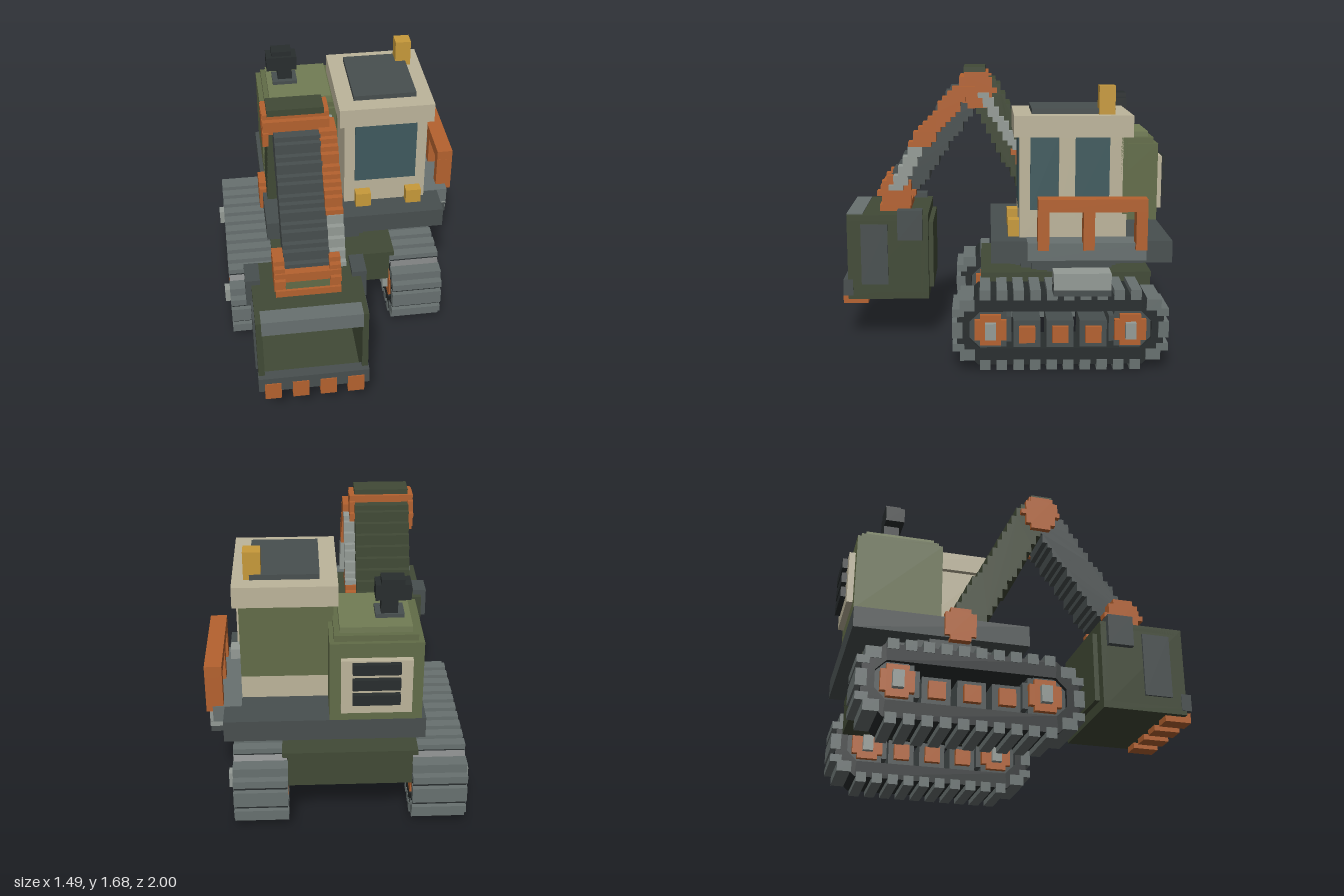
import * as THREE from 'three';

const U = 0.0303; // size of one block step
const C = {
  darkGreen: 0x414a36, olive: 0x626c48, lightOlive: 0x727d55, cream: 0xbdb59b, orange: 0xb5622f,
  amber: 0xc89a3a, glass: 0x3f5a5e, dark: 0x484f4f, mid: 0x687170, light: 0x949b96, black: 0x282d2e,
};
const materials = {};
const mat = (c) => (materials[c] ??= new THREE.MeshStandardMaterial({ color: C[c], flatShading: true }));
const snap = (v) => Math.round(v / U) * U;

function add(parent, name, color, geometry) {
  const mesh = new THREE.Mesh(geometry, mat(color));
  mesh.name = name;
  parent.add(mesh);
  return mesh;
}

// Box given by its limits on each axis
function box(parent, name, color, x0, x1, y0, y1, z0, z1) {
  const g = new THREE.BoxGeometry(x1 - x0, y1 - y0, z1 - z0);
  g.translate((x0 + x1) / 2, (y0 + y1) / 2, (z0 + z1) / 2);
  return add(parent, name, color, g);
}

// Staircase outline: rows one step high, edge(v) gives the [low, high] limits of a row
function steppedShape(v0, v1, edge) {
  const low = [], high = [];
  const n = Math.round((v1 - v0) / U), h = (v1 - v0) / n;
  for (let i = 0; i < n; i++) {
    const a = v0 + i * h, b = a + h, [l, r] = edge(a + h / 2);
    low.push(new THREE.Vector2(l, a), new THREE.Vector2(l, b));
    high.push(new THREE.Vector2(r, a), new THREE.Vector2(r, b));
  }
  return new THREE.Shape([...high, ...low.reverse()]);
}

// Extrude a (z, y) outline across x
function sideExtrude(shape, x0, x1) {
  const g = new THREE.ExtrudeGeometry(shape, { depth: x1 - x0, bevelEnabled: false });
  return g.rotateY(-Math.PI / 2).translate(x1, 0, 0);
}

// Sloping stepped bar from (z0, y0) up to (z1, y1), w wide along z
const bar = (parent, name, color, z0, y0, z1, y1, w, x0, x1) =>
  add(parent, name, color, sideExtrude(steppedShape(y0, y1, (y) => {
    const c = snap(z0 + (z1 - z0) * (y - y0) / (y1 - y0));
    return [c - w / 2, c + w / 2];
  }), x0, x1));

const roundEdge = (cu, cv, r) => (v) => {
  const half = Math.max(U, snap(Math.sqrt(Math.max(0, r * r - (v - cv) ** 2))));
  return [cu - half, cu + half];
};

// Stepped disc facing x
const disc = (parent, name, color, z, y, r, x0, x1) =>
  add(parent, name, color, sideExtrude(steppedShape(y - r, y + r, roundEdge(z, y, r)), x0, x1));

function chamferRect(Path, cz, cy, a, b, c) {
  return new Path([[a, b - c], [a - c, b], [c - a, b], [-a, b - c], [-a, c - b], [c - a, -b], [a - c, -b], [a, c - b]]
    .map(([z, y]) => new THREE.Vector2(cz + z, cy + y)));
}

function track(root, name, cx) {
  const t = new THREE.Group();
  t.name = name;
  root.add(t);
  const cz = -0.315, cy = 0.237, x0 = -0.155, x1 = 0.155;
  // Belt loop
  const loop = chamferRect(THREE.Shape, cz, cy, 0.59, 0.205, 0.12);
  loop.holes.push(chamferRect(THREE.Path, cz, cy, 0.52, 0.11, 0.06));
  add(t, 'trackBelt', 'black', sideExtrude(loop, x0 + 0.004, x1 - 0.004));
  // Treads along the top and bottom
  for (let i = 0; i < 10; i++) {
    const z = 0.115 - i * 0.0955;
    for (const y of [0.03, 0.444]) box(t, 'tread', 'mid', x0, x1, y - 0.03, y + 0.03, z - U, z + U);
  }
  // Treads around both ends
  for (const s of [1, -1]) {
    const z = (d) => cz + s * d;
    const tread = (d0, d1, y0, y1) =>
      box(t, 'endTread', 'mid', x0, x1, y0, y1, Math.min(z(d0), z(d1)), Math.max(z(d0), z(d1)));
    tread(0.56, 0.62, 0.19, 0.285);
    for (const u of [1, -1]) {
      const yr = (a, b) => [Math.min(cy + u * a, cy + u * b), Math.max(cy + u * a, cy + u * b)];
      tread(0.55, 0.618, ...yr(0.08, 0.125));
      tread(0.49, 0.575, ...yr(0.115, 0.18));
    }
    // End wheels and hubs
    disc(t, 'endWheel', 'dark', z(0.4), cy, 0.135, x0 + 0.03, x1 - 0.03);
    disc(t, 'wheelRim', 'orange', z(0.4), cy, 0.09, x0, x1);
    box(t, 'wheelHub', 'light', x0 - 0.033, x1 + 0.033, 0.19, 0.285, z(0.4) - U, z(0.4) + U);
  }
  // Road rollers
  for (let i = 0; i < 3; i++) {
    const z = -0.125 - i * 0.19;
    box(t, 'rollerFrame', 'dark', x0 + 0.03, x1 - 0.03, 0.125, 0.285, z - 0.078, z + 0.078);
    box(t, 'roller', 'orange', x0, x1, 0.16, 0.255, z - 0.046, z + 0.046);
  }
  t.position.x = cx;
}

function undercarriage(root) {
  track(root, 'rightTrack', -0.555);
  track(root, 'leftTrack', 0.458);
  box(root, 'chassis', 'darkGreen', -0.4, 0.303, 0.285, 0.475, -0.87, 0.14);
  box(root, 'chassisTop', 'darkGreen', -0.43, 0.333, 0.475, 0.505, -0.87, 0.14);
  const g = new THREE.ExtrudeGeometry(steppedShape(0.01, 0.74, roundEdge(-0.045, 0.375, 0.365)),
    { depth: 0.14, bevelEnabled: false });
  add(root, 'turntable', 'dark', g.rotateX(-Math.PI / 2).translate(0, 0.503, 0));
}

function upperBody(root) {
  box(root, 'platform', 'dark', -0.455, 0.645, 0.64, 0.765, -0.935, 0.08);
  box(root, 'sideStep', 'mid', 0.55, 0.71, 0.67, 0.769, -0.78, -0.12);
  box(root, 'toolBoxMount', 'dark', 0.585, 0.745, 0.475, 0.545, -0.585, -0.265);
  box(root, 'toolBox', 'light', 0.615, 0.748, 0.51, 0.605, -0.585, -0.265);
  // Engine housing, stepped in toward the top
  box(root, 'engineHousing', 'olive', -0.43, 0.07, 0.765, 1.235, -0.935, -0.435);
  box(root, 'housingStep', 'olive', -0.4, 0.045, 1.235, 1.27, -0.91, -0.455);
  box(root, 'housingTop', 'lightOlive', -0.37, 0.015, 1.27, 1.303, -0.88, -0.48);
  box(root, 'grilleFrame', 'cream', -0.37, 0.01, 0.83, 1.15, -0.97, -0.93);
  for (const y of [0.925, 1.017, 1.11]) box(root, 'grilleSlat', 'black', -0.305, -0.05, y - 0.031, y + 0.031, -1, -0.965);
  // Exhaust
  box(root, 'exhaustBase', 'dark', -0.335, -0.18, 1.3, 1.325, -0.78, -0.65);
  box(root, 'exhaustPipe', 'black', -0.3, -0.21, 1.3, 1.5, -0.77, -0.68);
  box(root, 'exhaustHead', 'black', -0.37, -0.18, 1.4, 1.49, -0.77, -0.66);
  box(root, 'exhaustCap', 'black', -0.335, -0.21, 1.49, 1.52, -0.77, -0.68);
  // Guard rail
  box(root, 'railBar', 'orange', 0.65, 0.745, 0.95, 1.02, -0.778, -0.177);
  for (const z of [-0.207, -0.457, -0.747]) box(root, 'railPost', 'orange', 0.65, 0.745, 0.735, 0.96, z - 0.031, z + 0.031);
}

function cab(root) {
  const g = new THREE.Group();
  g.name = 'cab';
  root.add(g);
  box(g, 'cabShell', 'cream', 0.045, 0.55, 0.765, 1.345, -0.66, -0.08);
  box(g, 'rearBase', 'cream', 0.045, 0.55, 0.765, 0.9, -0.685, -0.65);
  box(g, 'rearPanel', 'olive', 0.045, 0.55, 0.9, 1.345, -0.685, -0.65);
  box(g, 'rightPanel', 'olive', 0.04, 0.06, 0.9, 1.34, -0.68, -0.4);
  box(g, 'roof', 'cream', 0.013, 0.583, 1.34, 1.46, -0.712, -0.048);
  box(g, 'roofHatch', 'dark', 0.11, 0.488, 1.46, 1.49, -0.62, -0.15);
  box(g, 'beacon', 'amber', 0.425, 0.52, 1.46, 1.62, -0.615, -0.525);
  box(g, 'frontWindow', 'glass', 0.11, 0.488, 0.925, 1.338, -0.1, -0.076);
  // Side windows between raised pillars
  box(g, 'sideWindow', 'glass', 0.53, 0.556, 0.925, 1.338, -0.3, -0.14);
  box(g, 'sideWindow', 'glass', 0.53, 0.556, 0.925, 1.338, -0.585, -0.39);
  box(g, 'doorPillar', 'cream', 0.54, 0.58, 0.89, 1.34, -0.39, -0.3);
  box(g, 'doorHandle', 'light', 0.55, 0.613, 0.925, 0.985, -0.53, -0.44);
  for (const x of [0.157, 0.472]) box(g, 'headlight', 'amber', x - 0.047, x + 0.047, 0.765, 0.86, -0.09, -0.017);
}

function diggingArm(root) {
  const g = new THREE.Group();
  g.name = 'diggingArm';
  root.add(g);
  // Boom with its lift cylinder
  bar(g, 'boom', 'darkGreen', -0.33, 0.67, 0.15, 1.61, 0.212, -0.43, -0.115);
  disc(g, 'boomPivot', 'orange', -0.33, 0.72, 0.1, -0.475, -0.43);
  bar(g, 'liftCylinder', 'orange', -0.355, 0.7, -0.09, 1.18, 0.09, -0.115, -0.052);
  bar(g, 'liftRod', 'light', -0.09, 1.18, 0.13, 1.53, 0.07, -0.115, -0.052);
  // Elbow
  for (const x of [-0.46, -0.118]) disc(g, 'elbowPlate', 'orange', 0.16, 1.545, 0.11, x, x + 0.033);
  box(g, 'elbowBlock', 'orange', -0.455, -0.087, 1.545, 1.625, 0.1, 0.27);
  box(g, 'elbowEdge', 'orange', -0.455, -0.087, 1.62, 1.655, 0.09, 0.24);
  box(g, 'elbowCap', 'darkGreen', -0.43, -0.115, 1.645, 1.685, 0.11, 0.242);
  // Stick with its cylinder
  bar(g, 'stick', 'dark', 0.64, 0.92, 0.2, 1.56, 0.23, -0.4, -0.145);
  bar(g, 'stickCylinder', 'orange', 0.535, 1.2, 0.23, 1.57, 0.14, -0.15, -0.052);
  bar(g, 'stickRod', 'light', 0.66, 0.93, 0.535, 1.2, 0.09, -0.145, -0.052);
  // Bucket linkage
  for (const x of [-0.46, -0.15]) disc(g, 'linkPlate', 'orange', 0.665, 0.905, 0.11, x, x + 0.062);
  box(g, 'linkCrossbar', 'orange', -0.455, -0.087, 0.895, 0.955, 0.6, 0.765);
  box(g, 'linkBase', 'orange', -0.455, -0.087, 0.79, 0.835, 0.58, 0.77);
  box(g, 'linkBlock', 'olive', -0.4, -0.145, 0.83, 0.895, 0.59, 0.755);
}

function bucket(root) {
  const g = new THREE.Group();
  g.name = 'bucket';
  root.add(g);
  const x0 = -0.585, x1 = 0.04, w = 0.035;
  box(g, 'bucketFloor', 'darkGreen', x0, x1, 0.26, 0.3, 0.465, 0.965);
  box(g, 'bucketRoof', 'darkGreen', x0, x1, 0.755, 0.792, 0.465, 0.965);
  box(g, 'bucketBack', 'darkGreen', x0, x1, 0.26, 0.79, 0.465, 0.51);
  box(g, 'bucketBackPlate', 'darkGreen', x0 + 0.06, x1 - 0.06, 0.32, 0.735, 0.437, 0.47);
  box(g, 'upperLip', 'mid', x0 + 0.03, x1 - 0.03, 0.7, 0.797, 0.87, 0.968);
  box(g, 'lowerLip', 'dark', x0 - 0.004, x1 + 0.004, 0.285, 0.385, 0.935, 0.995);
  for (const s of [1, -1]) {
    const c = (x0 + x1) / 2, h = (x1 - x0) / 2;
    const side = (name, color, a, b, ...r) =>
      box(g, name, color, c + Math.min(s * a, s * b), c + Math.max(s * a, s * b), ...r);
    side('bucketSide', 'darkGreen', h - w, h, 0.26, 0.79, 0.465, 0.965);
    side('sidePanel', 'dark', h - 0.01, h + 0.012, 0.355, 0.735, 0.715, 0.88);
    side('bucketEar', 'dark', h - 0.05, h + 0.034, 0.64, 0.825, 0.5, 0.652);
  }
  // Teeth
  for (let i = 0; i < 4; i++) {
    const x = -0.508 + i * 0.1585;
    box(g, 'toothBase', 'orange', x - 0.047, x + 0.047, 0.285, 0.345, 0.92, 1);
    box(g, 'toothTip', 'orange', x - 0.047, x + 0.047, 0.226, 0.287, 0.845, 1);
  }
}

export function createModel() {
  const root = new THREE.Group();
  root.name = 'excavator';
  for (const build of [undercarriage, upperBody, cab, diggingArm, bucket]) build(root);
  return root;
}
